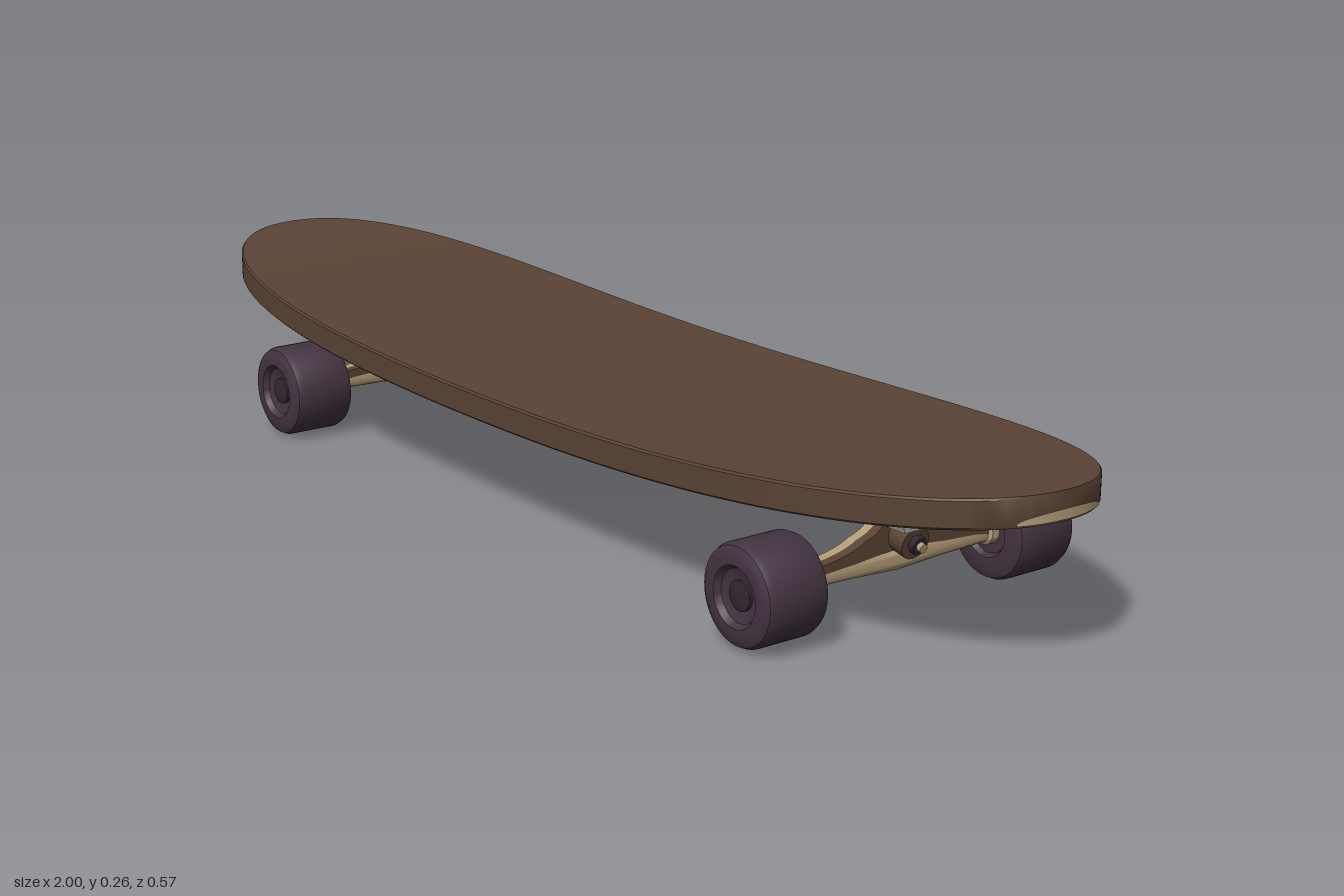
import * as THREE from 'three';
import { toCreasedNormals } from 'three/addons/utils/BufferGeometryUtils.js';

const mat = (name, color, side = THREE.FrontSide) => {
  const m = new THREE.MeshStandardMaterial({ color, side });
  m.name = name;
  return m;
};

// Deck rules: half width and top height along x
const THICK = 0.043, HALF = 0.262;
const power = (x) => (x < 0 ? 4 : 3.2);
const halfWidth = (x) => HALF * Math.pow(Math.max(0, 1 - Math.pow(Math.abs(x), power(x))), 0.45);
const topY = (x) => 0.204 + (x < -0.1 ? 0.052 * ((x + 0.1) / 0.9) ** 2 : 0.061 * ((x + 0.1) / 1.1) ** 2);

// Rectangular sections swept from tail to nose, flat caps at both tips
function deckGeometry() {
  const N = 120, pos = [], idx = [];
  for (let i = 0; i <= N; i++) {
    const x = -Math.cos((i / N) * Math.PI);
    const w = Math.max(halfWidth(x), 0.006), y = topY(x), b = 0.003;
    pos.push(x, y, w - b, x, y - b, w, x, y - THICK + b, w, x, y - THICK, w - b);
    pos.push(x, y - THICK, b - w, x, y - THICK + b, -w, x, y - b, -w, x, y, b - w);
  }
  for (let i = 0; i < N; i++) {
    for (let k = 0; k < 8; k++) {
      const a = i * 8 + k, b = i * 8 + ((k + 1) % 8);
      idx.push(a, b, b + 8, a, b + 8, a + 8);
    }
  }
  for (let k = 1; k < 7; k++) idx.push(0, k + 1, k, N * 8, N * 8 + k, N * 8 + k + 1);
  const g = new THREE.BufferGeometry();
  g.setAttribute('position', new THREE.Float32BufferAttribute(pos, 3));
  g.setIndex(idx);
  return toCreasedNormals(g, 0.6);
}

// Worn strip that follows the lower edge of the nose
function wearGeometry() {
  const g = new THREE.PlaneGeometry(1, 1, 24, 1), p = g.attributes.position;
  for (let i = 0; i < p.count; i++) {
    const u = p.getX(i) * 2, z = u * 0.075;
    const x = Math.pow(1 - Math.pow(Math.abs(z) / HALF, 1 / 0.45), 1 / 3.2);
    const rise = p.getY(i) > 0 ? 0.004 + 0.014 * Math.sqrt(1 - u * u * 0.95) : 0.003;
    p.setXYZ(i, x + 0.002, topY(x) - THICK + rise, z);
  }
  g.computeVertexNormals();
  return g;
}

const lathe = (pts, sides = 32) =>
  toCreasedNormals(new THREE.LatheGeometry(pts.map(([r, y]) => new THREE.Vector2(r, y)), sides), 0.6);

export function createModel() {
  const root = new THREE.Group();
  root.name = 'skateboard';
  const wood = mat('wood brown', 0x5a4335);
  const plum = mat('wheel plum', 0x433341);
  const metal = mat('warm metal', 0xb39b78, THREE.DoubleSide);
  const pale = mat('pale metal', 0x98a09c);
  const dark = mat('dark hardware', 0x33262f);

  const add = (parent, name, geo, material, x = 0, y = 0, z = 0) => {
    const m = new THREE.Mesh(geo, material);
    m.name = name;
    m.position.set(x, y, z);
    parent.add(m);
    return m;
  };

  add(root, 'deck', deckGeometry(), wood);
  add(root, 'noseWear', wearGeometry(), metal);

  // Wheel: rounded tread with a stepped recess on the outer face
  const wheelGeo = lathe([[0, 0.008], [0.035, 0.008], [0.04, 0], [0.062, 0], [0.071, 0.004], [0.075, 0.013],
    [0.075, 0.095], [0.071, 0.104], [0.062, 0.109], [0.045, 0.109], [0.039, 0.1], [0.025, 0.095], [0, 0.095]], 40);
  const hubGeo = lathe([[0.011, 0.09], [0.022, 0.09], [0.022, 0.1], [0.012, 0.103], [0, 0.103]], 24);
  const axleGeo = lathe([[0, -0.185], [0.021, -0.185], [0.021, -0.172], [0.016, -0.168], [0.018, -0.08], [0.022, 0],
    [0.018, 0.08], [0.016, 0.168], [0.021, 0.172], [0.021, 0.185], [0, 0.185]], 24);

  // Hanger web outline in z and y
  const web = new THREE.Shape();
  web.moveTo(-0.17, 0.075);
  web.lineTo(0.17, 0.075);
  web.lineTo(0.17, 0.092);
  web.quadraticCurveTo(0.1, 0.095, 0.07, 0.112);
  web.quadraticCurveTo(0.04, 0.12, 0.032, 0.136);
  web.lineTo(-0.032, 0.136);
  web.quadraticCurveTo(-0.04, 0.12, -0.07, 0.112);
  web.quadraticCurveTo(-0.1, 0.095, -0.17, 0.092);
  web.closePath();
  const webGeo = new THREE.ExtrudeGeometry(web, { depth: 0.016, bevelEnabled: false, curveSegments: 8 });
  webGeo.rotateY(-Math.PI / 2);

  // Tapered block between hanger and baseplate
  const block = new THREE.Shape([[-0.03, 0.128], [0.03, 0.128], [0.042, 0.168], [-0.042, 0.168]]
    .map(([z, y]) => new THREE.Vector2(z, y)));
  const blockGeo = new THREE.ExtrudeGeometry(block, { depth: 0.07, bevelEnabled: false });
  blockGeo.rotateY(-Math.PI / 2);

  function truck(name, x, plateY, tilt) {
    const t = new THREE.Group();
    t.name = name;
    t.position.x = x;
    root.add(t);

    // Mounting plates with bolts, tilted to meet the deck
    const mount = new THREE.Group();
    mount.name = 'mount';
    mount.position.set(0.01, plateY, 0);
    mount.rotation.z = tilt;
    t.add(mount);
    add(mount, 'riser', new THREE.BoxGeometry(0.18, 0.022, 0.124), wood, 0, -0.007, 0);
    add(mount, 'baseplate', new THREE.BoxGeometry(0.16, 0.014, 0.112), plum, 0, -0.025, 0);
    for (const bx of [-0.062, 0.062]) for (const bz of [-0.042, 0.042])
      add(mount, 'bolt', new THREE.CylinderGeometry(0.009, 0.009, 0.014, 6), dark, bx, -0.037, bz);

    add(t, 'bushingBlock', blockGeo, pale, 0.055, 0, 0);
    add(t, 'hangerFront', webGeo, wood, 0.016, 0, 0);
    add(t, 'hangerBack', webGeo, metal, 0, 0, 0);
    add(t, 'axleHousing', axleGeo, metal, 0, 0.076, 0).rotation.x = Math.PI / 2;

    // Kingpin leaning down and outward, with washer and nut
    const pin = new THREE.Group();
    pin.name = 'kingpin';
    pin.position.set(0.01, 0.112, 0);
    pin.rotation.z = -Math.PI / 2 - 0.2;
    t.add(pin);
    add(pin, 'washer', new THREE.CylinderGeometry(0.025, 0.025, 0.07, 20), wood, 0, 0, 0);
    add(pin, 'nut', new THREE.CylinderGeometry(0.014, 0.014, 0.09, 6), dark, 0, 0, 0);
    add(pin, 'pinTip', new THREE.CylinderGeometry(0.007, 0.007, 0.105, 12), metal, 0, 0, 0);

    for (const s of [-1, 1]) {
      const w = new THREE.Group();
      w.name = s > 0 ? 'leftWheel' : 'rightWheel';
      w.position.set(0, 0.075, s * 0.177);
      w.rotation.x = s * Math.PI / 2;
      t.add(w);
      add(w, 'tyre', wheelGeo, plum);
      add(w, 'hub', hubGeo, dark);
    }
    return t;
  }

  truck('tailTruck', -0.57, 0.18, -0.06);
  truck('noseTruck', 0.67, 0.192, 0.075).position.y = 0.004;
  return root;
}
